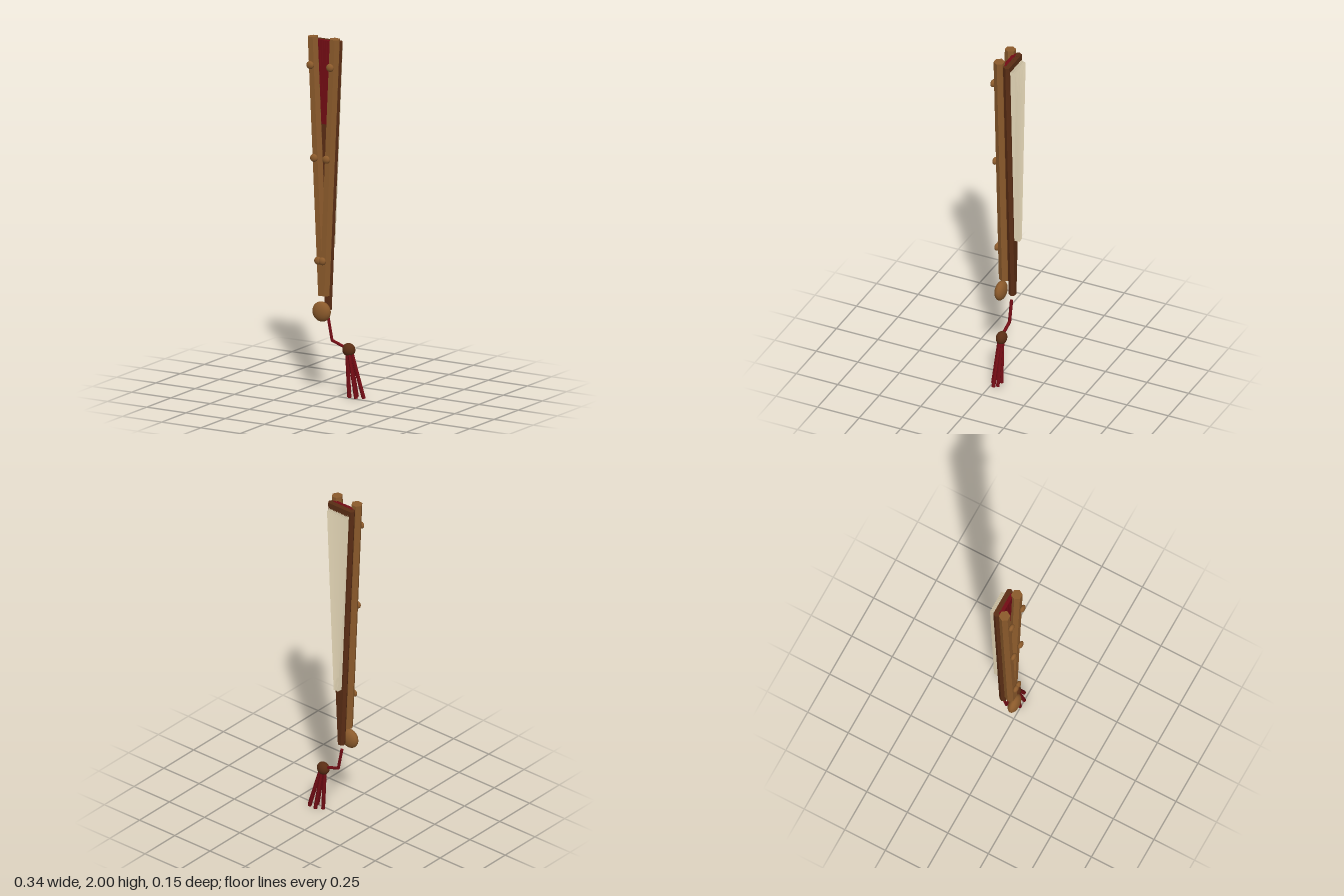
import * as THREE from 'three';

const mat = (name, color, extra = {}) => {
  const m = new THREE.MeshStandardMaterial({ color, ...extra });
  m.name = name;
  return m;
};

export function createModel() {
  const wood = mat('wood', 0x8b5a2b, { flatShading: true });
  const polished = mat('polishedWood', 0x8b5a2b);
  const darkWood = mat('darkWood', 0x5a2d14, { flatShading: true });
  const darkBead = mat('darkBead', 0x5a2d14);
  const red = mat('redCord', 0x720c14, { flatShading: true });
  const cream = mat('creamPaper', 0xe6d8b8, { flatShading: true, side: THREE.DoubleSide });

  const model = new THREE.Group();
  model.name = 'foldedFan';
  const PX = -0.072, PY = 0.475, SLOPE = 0.046;
  // x on a ray from the pivot; s runs from -1 to 1 across the fan
  const fanX = (s, y) => PX + s * SLOPE * (y - PY);

  function add(name, geo, material) {
    const m = new THREE.Mesh(geo, material);
    m.name = name;
    model.add(m);
    return m;
  }

  // Hexagonal rod between two points
  function rod(name, a, b, r, material) {
    const d = b.clone().sub(a);
    const geo = new THREE.CylinderGeometry(r, r, d.length(), 6).rotateY(Math.PI / 2);
    const m = add(name, geo, material);
    m.position.copy(a).add(b).multiplyScalar(0.5);
    m.quaternion.setFromUnitVectors(new THREE.Vector3(0, 1, 0), d.normalize());
    return m;
  }
  const fanRod = (name, s, y0, y1, z, r, material) => rod(name,
    new THREE.Vector3(fanX(s, y0), y0, z), new THREE.Vector3(fanX(s, y1), y1, z), r, material);

  function ellipsoid(name, x, y, z, rx, ry, rz, material) {
    const m = add(name, new THREE.SphereGeometry(1, 20, 14), material);
    m.position.set(x, y, z);
    m.scale.set(rx, ry, rz);
  }

  // Guard sticks with their studs
  for (const s of [-1, 1]) {
    fanRod('guardStick', s, 0.562, 1.9985, 0.02, 0.031, wood);
    for (const y of [0.76, 1.33, 1.845]) {
      ellipsoid('stud', fanX(s, y), y, 0.059, 0.023, 0.022, 0.014, polished);
    }
  }

  // Inner ribs
  const RIBS = 9;
  for (let i = 0; i < RIBS; i++) {
    fanRod('rib', -1 + (2 * i) / (RIBS - 1), 0.472, 1.977, -0.026, 0.0215, darkWood);
  }

  // Red bindings along the upper ribs
  for (let i = 0; i < RIBS; i++) {
    fanRod('ribBinding', 0.85 * (-1 + (2 * i) / (RIBS - 1)), 1.51, 1.978, -0.008, 0.0115, red);
  }

  // Pleated leaf behind the ribs
  const PANELS = 24, Y0 = 0.83, Y1 = 1.948;
  const pos = [], idx = [];
  for (let i = 0; i <= PANELS; i++) {
    const s = -1 + (2 * i) / PANELS;
    const z = i % 2 ? -0.075 : -0.044;
    const top = i % 2 ? Y1 - 0.006 : Y1;
    pos.push(fanX(s, Y0), Y0, z, fanX(s, top), top, z);
    if (i < PANELS) {
      const k = i * 2;
      idx.push(k, k + 1, k + 2, k + 2, k + 1, k + 3);
    }
  }
  const leaf = new THREE.BufferGeometry();
  leaf.setAttribute('position', new THREE.Float32BufferAttribute(pos, 3));
  leaf.setIndex(idx);
  leaf.computeVertexNormals();
  add('pleatedLeaf', leaf, cream);

  // Pivot knob
  ellipsoid('pivotKnob', PX, PY, 0.043, 0.056, 0.056, 0.03, polished);

  // Hanging cord
  const c = [[-0.07, 0.432], [-0.045, 0.305], [0.055, 0.27]]
    .map(([x, y]) => new THREE.Vector3(x, y, -0.021));
  rod('cord', c[0], c[1], 0.009, red);
  rod('cord', c[1], c[2], 0.009, red);

  // Tassel bead and strands
  ellipsoid('tasselBead', 0.06, 0.265, -0.024, 0.038, 0.037, 0.03, darkBead);
  const ends = [[0.064, -0.02], [0.078, -0.004], [0.1, -0.043],
    [0.12, -0.001], [0.142, -0.041], [0.158, -0.022]];
  ends.forEach(([x, z], i) => rod('tasselStrand',
    new THREE.Vector3(0.05 + i * 0.006, 0.25, -0.023 + (z + 0.023) * 0.4),
    new THREE.Vector3(x, 0.004, z), 0.0105, red));

  return model;
}
